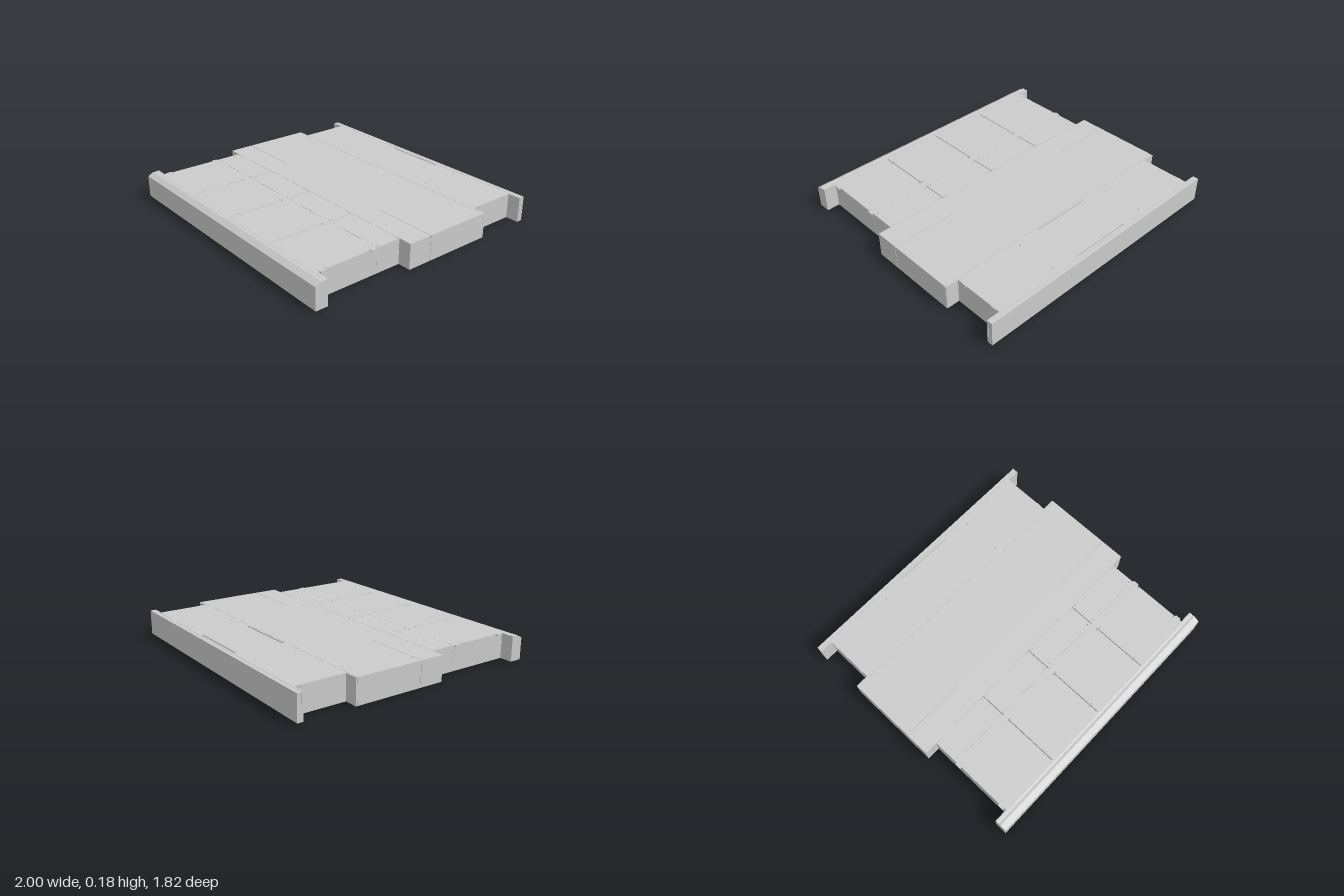
import * as THREE from 'three';

const TOP = 0.18;
const LID = 0.16; // floor level of shallow recesses

export function createModel() {
  const model = new THREE.Group();
  const material = new THREE.MeshStandardMaterial({ color: 0xcccccc, flatShading: true });

  const add = (name, geometry) => {
    const mesh = new THREE.Mesh(geometry, material);
    mesh.name = name;
    model.add(mesh);
    return mesh;
  };
  const block = (name, x0, x1, y0, y1, z0, z1) => {
    const g = new THREE.BoxGeometry(x1 - x0, y1 - y0, z1 - z0);
    g.translate((x0 + x1) / 2, (y0 + y1) / 2, (z0 + z1) / 2);
    return add(name, g);
  };

  // Plan outlines are given as [x, z] and extruded upwards
  const outline = (pts) => pts.map(([x, z]) => new THREE.Vector2(x, -z));
  const rect = (x0, x1, z0, z1) => outline([[x0, z0], [x1, z0], [x1, z1], [x0, z1]]);
  const disc = (x, z, r) => Array.from({ length: 10 }, (_, i) => {
    const a = (i / 10) * Math.PI * 2;
    return new THREE.Vector2(x + r * Math.cos(a), -z + r * Math.sin(a));
  });
  const plate = (name, pts, holes, y0, y1) => {
    const shape = new THREE.Shape(pts);
    shape.holes = holes.map((h) => new THREE.Path(h));
    const g = new THREE.ExtrudeGeometry(shape, { depth: y1 - y0, bevelEnabled: false });
    g.rotateX(-Math.PI / 2);
    g.translate(0, y0, 0);
    return add(name, g);
  };

  // Front rail with a sloped front edge and a slightly dipped top
  const profile = new THREE.Shape([
    [-0.82, 0], [-0.82, TOP], [-0.835, TOP], [-0.845, 0.177], [-0.855, 0.178],
    [-0.865, TOP], [-0.908, 0.157], [-0.908, 0],
  ].map(([x, y]) => new THREE.Vector2(x, y)));
  const rail = new THREE.ExtrudeGeometry(profile, { depth: 2, bevelEnabled: false });
  rail.translate(0, 0, -1);
  rail.rotateY(Math.PI / 2);
  // profile x becomes -z after the turn
  add('frontRail', rail);

  // Four front panels, each in two rows with narrow seams between
  const seams = [-0.908, -0.455, 0, 0.455, 0.908];
  const gap = 0.003;
  for (let i = 0; i < 4; i++) {
    const x0 = seams[i] + gap;
    const x1 = seams[i + 1] - gap;
    const mid = (x0 + x1) / 2;
    const rows = [
      ['frontPanelInner', 0.18, 0.3635, [0.19, 0.35]],
      ['frontPanelOuter', 0.3645, 0.82, [0.425, 0.755]],
    ];
    for (const [name, z0, z1, drill] of rows) {
      const holes = [];
      for (const z of drill) {
        const inset = name === 'frontPanelInner' ? 0.022 : 0.01;
        holes.push(disc(x0 + inset, z, 0.005), disc(x1 - inset, z, 0.005));
      }
      // small slit beside the row seam
      if (name === 'frontPanelOuter') holes.push(rect(mid - 0.08, mid + 0.08, 0.3655, 0.368));
      block(name + 'Base', x0, x1, 0, LID, z0, z1);
      plate(name, rect(x0, x1, z0, z1), holes, LID, TOP);
    }
  }

  // Clips bridging the panel seams and projecting past the outer edges
  for (const x of seams) {
    block('seamClip', x - 0.009, x + 0.009, 0.168, TOP + 0.0005, 0.372, 0.415);
    if (Math.abs(x) > 0.9) {
      block('edgeClip', x - 0.009, x + 0.009, 0.168, TOP + 0.0005, 0.762, 0.805);
    }
  }

  // Middle board, split by a slit running in from each end
  const s = 0.0015;
  plate('middleBoard', outline([
    [-1, -0.49], [1, -0.49], [1, -s], [0.53, -s], [0.53, s], [1, s],
    [1, 0.178], [-1, 0.178], [-1, s], [-0.53, s], [-0.53, -s], [-1, -s],
  ]), [], 0, TOP);
  block('middleBackLip', -1, 1, 0, TOP, -0.502, -0.492);

  // Back panel with slots, pin holes and two long tapered finger recesses
  const recess = (zWide, zNarrow) => outline([
    [-0.235, zWide], [-0.22, zNarrow], [0.22, zNarrow], [0.235, zWide],
  ]);
  const backHoles = [recess(-0.8635, -0.854), recess(-0.505, -0.516)];
  for (const side of [-1, 1]) {
    for (const z of [-0.813, -0.56]) {
      const x = side * 0.457;
      backHoles.push(rect(x - 0.003, x + 0.003, z - 0.014, z + 0.014));
    }
    for (const z of [-0.83, -0.54]) backHoles.push(disc(side * 0.418, z, 0.006));
    for (const z of [-0.813, -0.56]) {
      const x = side * 0.904;
      block('sideTab', x - 0.004, x + 0.004, LID, TOP, z - 0.014, z + 0.014);
    }
  }
  block('backPanelBase', -0.905, 0.905, 0, LID, -0.865, -0.502);
  plate('backPanel', rect(-0.905, 0.905, -0.865, -0.502), backHoles, LID, TOP);

  // Back rail in two layers
  block('backRailInner', -1, 1, 0, TOP, -0.878, -0.865);
  block('backRailOuter', -1, 1, 0, TOP, -0.908, -0.88);

  return model;
}
